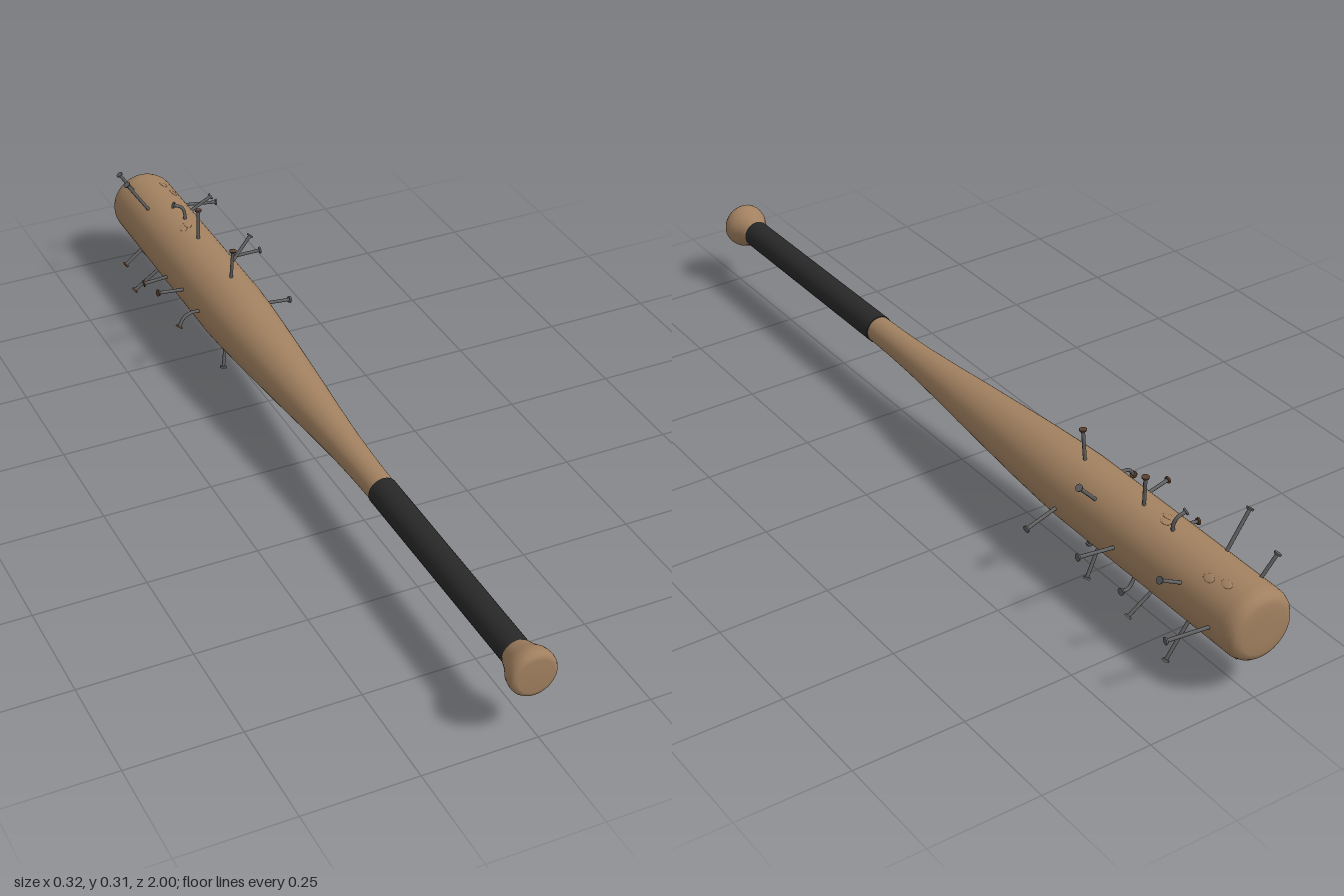
import * as THREE from 'three';

const AX = -0.0135, AY = 0.1555; // long axis of the bat

export function createModel() {
  const mat = (name, color) => Object.assign(new THREE.MeshStandardMaterial({ color }), { name });
  const wood = mat('wood', 0xa28160);
  const grip = mat('gripTape', 0x282828);
  const steel = mat('nailSteel', 0x626162);
  const rust = mat('rustyNailHead', 0x5a3f2e);

  const root = new THREE.Group();
  root.name = 'nailedBat';

  // Turned parts: profile of [radius, z], back to front
  const turned = (name, material, profile) => {
    const geo = new THREE.LatheGeometry(profile.map(([r, z]) => new THREE.Vector2(r, z)), 40);
    geo.rotateX(Math.PI / 2);
    const mesh = new THREE.Mesh(geo, material);
    mesh.name = name;
    mesh.position.set(AX, AY, 0);
    root.add(mesh);
  };
  turned('barrel', wood, [
    [0, -1], [0.03, -1], [0.055, -0.999], [0.067, -0.995], [0.074, -0.987], [0.078, -0.975],
    [0.0787, -0.96], [0.0787, -0.7], [0.0785, -0.42], [0.0755, -0.35], [0.07, -0.26], [0.062, -0.15],
    [0.053, -0.03], [0.044, 0.08], [0.037, 0.18], [0.033, 0.27], [0.031, 0.36],
  ]);
  turned('gripSleeve', grip, [[0.033, 0.36], [0.0325, 0.6], [0.032, 0.93]]);
  turned('gripEdge', grip, [[0.028, 0.36], [0.033, 0.36]]);
  turned('knob', wood, [
    [0.029, 0.92], [0.034, 0.929], [0.037, 0.94], [0.043, 0.954], [0.049, 0.966],
    [0.051, 0.976], [0.0515, 0.984], [0.0505, 0.991], [0.047, 0.997], [0.038, 0.9995], [0, 1],
  ]);

  // Nail along a list of points, with a flat head on the last one
  const addNail = (name, pts, headMaterial) => {
    const nail = new THREE.Group();
    nail.name = name;
    const curve = pts.length === 2 ? new THREE.LineCurve3(...pts) : new THREE.CatmullRomCurve3(pts);
    const shank = new THREE.Mesh(
      new THREE.TubeGeometry(curve, pts.length === 2 ? 1 : 16, 0.004, 8), steel);
    shank.name = 'nailShank';
    const head = new THREE.Mesh(new THREE.CylinderGeometry(0.0085, 0.0075, 0.004, 12), headMaterial);
    head.name = 'nailHead';
    head.position.copy(pts[pts.length - 1]);
    head.quaternion.setFromUnitVectors(new THREE.Vector3(0, 1, 0), curve.getTangent(1));
    nail.add(shank, head);
    root.add(nail);
  };

  // Straight nails: tip x, y, z, the z where the nail enters the wood, and the head material
  const straight = [
    [-0.108, 0.3, -0.83, -0.83, steel], [-0.005, 0.304, -0.43, -0.435, rust],
    [-0.004, 0.304, -0.637, -0.63, rust], [0.088, 0.262, -0.545, -0.535, steel],
    [0.107, 0.218, -0.83, -0.83, steel], [0.147, 0.165, -0.625, -0.633, steel],
    [0.155, 0.148, -0.914, -0.932, steel], [0.143, 0.127, -0.446, -0.434, steel],
    [0.094, 0.06, -0.724, -0.732, steel], [0.077, 0.01, -0.825, -0.83, steel],
    [0.055, 0.024, -0.537, -0.53, steel], [-0.04, 0.004, -0.42, -0.433, steel],
    [-0.135, 0.063, -0.738, -0.732, rust], [-0.125, 0.088, -0.82, -0.83, rust],
    [-0.148, 0.142, -0.635, -0.631, rust], [-0.155, 0.179, -0.525, -0.532, rust],
    [-0.086, 0.268, -0.94, -0.932, steel],
  ];
  for (const [x, y, z, z0, headMaterial] of straight) {
    const dir = new THREE.Vector2(x - AX, y - AY).setLength(0.068);
    addNail('straightNail', [
      new THREE.Vector3(AX + dir.x, AY + dir.y, z0), new THREE.Vector3(x, y, z)], headMaterial);
  }

  // Bent nails: points from the wood out to the head
  const bent = [
    [rust, [-0.085, 0.163, -0.435], [-0.11, 0.166, -0.433], [-0.13, 0.16, -0.43], [-0.145, 0.141, -0.425]],
    [steel, [-0.003, 0.225, -0.73], [-0.001, 0.246, -0.732], [-0.007, 0.263, -0.735], [-0.026, 0.272, -0.738]],
    [rust, [-0.035, 0.088, -0.93], [-0.041, 0.068, -0.928], [-0.038, 0.046, -0.922], [-0.022, 0.036, -0.915]],
    [steel, [0.006, 0.085, -0.632], [0.011, 0.06, -0.633], [0.025, 0.045, -0.635], [0.044, 0.046, -0.637]],
  ];
  for (const [headMaterial, ...pts] of bent) {
    addNail('bentNail', pts.map((p) => new THREE.Vector3(...p)), headMaterial);
  }

  // Shallow knocks in the wood: angle around the axis, surface radius, z
  const knocks = [
    [1.15, 0.0785, -0.92], [1.0, 0.0785, -0.88], [1.5, 0.0785, -0.7], [1.7, 0.0785, -0.69],
    [-1.09, 0.0615, -0.15], [-1.57, 0.0725, -0.3],
  ];
  for (const [a, r, z] of knocks) {
    const knock = new THREE.Mesh(new THREE.SphereGeometry(0.011, 16, 10), wood);
    knock.name = 'woodKnock';
    knock.scale.set(0.16, 0.8, 1.3);
    knock.rotation.z = a;
    knock.position.set(AX + r * Math.cos(a), AY + r * Math.sin(a), z);
    root.add(knock);
  }

  return root;
}
